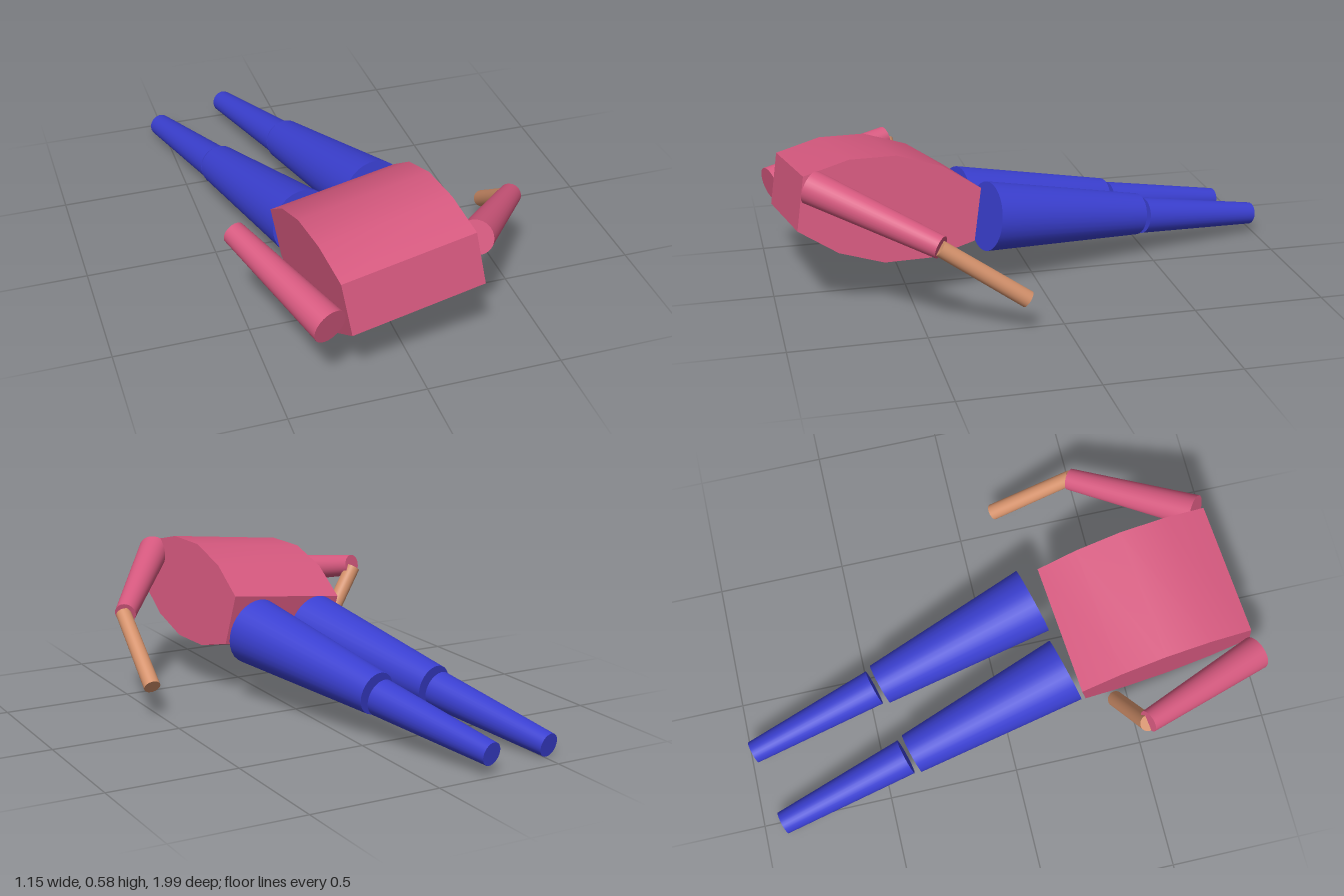
import * as THREE from 'three';
import { toCreasedNormals } from 'three/addons/utils/BufferGeometryUtils.js';

const V = (p) => new THREE.Vector3(...p);

export function createModel() {
  const model = new THREE.Group();
  model.name = 'lyingFigure';

  const material = (name, color) => {
    const m = new THREE.MeshStandardMaterial({ color });
    m.name = name;
    return m;
  };
  const pink = material('pinkShirt', 0xd6597f);
  const blue = material('blueTrousers', 0x3a3fd0);
  const skin = material('skin', 0xd4916b);

  // Tapered limb running from point a (radius ra) to point b (radius rb)
  const limb = (name, mat, a, ra, b, rb) => {
    const start = V(a), end = V(b);
    const dir = end.clone().sub(start);
    const mesh = new THREE.Mesh(new THREE.CylinderGeometry(rb, ra, dir.length(), 32), mat);
    mesh.position.copy(start).add(end).multiplyScalar(0.5);
    mesh.quaternion.setFromUnitVectors(new THREE.Vector3(0, 1, 0), dir.normalize());
    mesh.name = name;
    model.add(mesh);
  };

  // Torso: barrel-shaped side profile extruded across the shoulders
  const upper = [[-0.335, 0.1], [-0.175, 0.172], [0, 0.199], [0.175, 0.172], [0.335, 0.1]];
  const lower = upper.map(([x, y]) => [-x, -y]);
  const profile = new THREE.Shape([...upper, ...lower].map(([x, y]) => new THREE.Vector2(x, y)));
  const width = 0.502;
  const geometry = new THREE.ExtrudeGeometry(profile, { depth: width, bevelEnabled: false });
  geometry.translate(0, 0, -width / 2);
  const torso = new THREE.Mesh(toCreasedNormals(geometry, 0.5), pink);
  const across = V([0.495, 0.065, -0.055]).normalize();
  const forward = V([0.088, 0.176, 0.98]);
  const up = forward.clone().cross(across).normalize();
  const back = up.clone().cross(across);
  torso.quaternion.setFromRotationMatrix(new THREE.Matrix4().makeBasis(back, up, across));
  torso.position.set(-0.06, 0.352, 0.6);
  torso.name = 'torso';
  model.add(torso);

  // Arms
  limb('leftUpperArm', pink, [0.21, 0.503, 0.86], 0.063, [0.517, 0.352, 0.45], 0.042);
  limb('leftForearm', skin, [0.523, 0.352, 0.455], 0.03, [0.542, 0.135, 0.145], 0.032);
  limb('rightUpperArm', pink, [-0.34, 0.336, 0.968], 0.066, [-0.537, 0.43, 0.483], 0.043);
  limb('rightForearm', skin, [-0.54, 0.42, 0.482], 0.031, [-0.335, 0.113, 0.435], 0.031);

  // Legs
  limb('leftThigh', blue, [0.075, 0.283, 0.195], 0.132, [-0.09, 0.175, -0.45], 0.082);
  limb('leftCalf', blue, [-0.095, 0.165, -0.475], 0.071, [-0.222, 0.083, -0.985], 0.044);
  limb('rightThigh', blue, [-0.22, 0.255, 0.255], 0.128, [-0.382, 0.147, -0.387], 0.08);
  limb('rightCalf', blue, [-0.387, 0.137, -0.412], 0.071, [-0.514, 0.049, -0.925], 0.045);

  return model;
}
